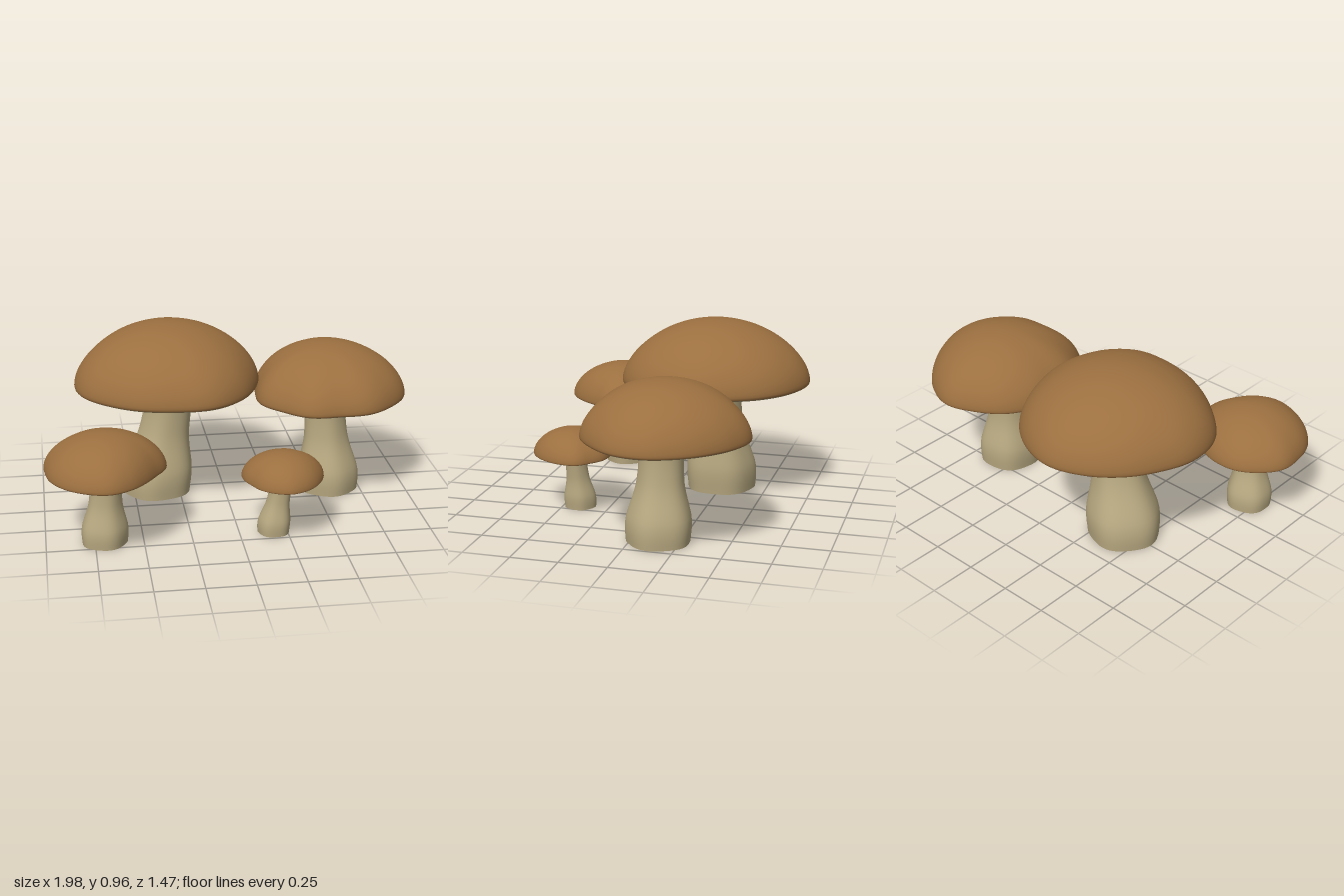
import * as THREE from 'three';

const SEG = 128;

// Surface through closed rings, listed from top to bottom along the outer side.
function loft(rings, point) {
  const pos = [], idx = [];
  rings.forEach((ring, i) => {
    for (let j = 0; j < SEG; j++) {
      pos.push(...point(ring, (j / SEG) * Math.PI * 2, j));
      if (i === rings.length - 1) continue;
      const k = (j + 1) % SEG, u = i * SEG, l = u + SEG;
      idx.push(u + j, u + k, l + j, u + k, l + k, l + j);
    }
  });
  const g = new THREE.BufferGeometry();
  g.setAttribute('position', new THREE.Float32BufferAttribute(pos, 3));
  g.setIndex(idx);
  g.computeVertexNormals();
  return g;
}

// Smooth periodic radius through evenly spaced values
function outline(values) {
  const n = values.length, at = (i) => values[(i + n) % n];
  return (a) => {
    const s = (a / (Math.PI * 2)) * n, i = Math.floor(s), f = s - i;
    const p0 = at(i - 1), p1 = at(i), p2 = at(i + 1), p3 = at(i + 2);
    return p1 + 0.5 * f * (p2 - p0 + f * (2 * p0 - 5 * p1 + 4 * p2 - p3 + f * (3 * (p1 - p2) + p3 - p0)));
  };
}

// cap: centre x, z; rim: rim height; top: apex height; under: height of the gills at the stem
// base: foot x, z, radius; neck: top-of-stem x, z; radii: cap outline, from +x towards +z
const MUSHROOMS = [
  { name: 'largeMushroom', cap: [-0.3, -0.22], rim: 0.645, top: 0.965, under: 0.595,
    base: [-0.372, -0.24, 0.194], neck: [-0.295, -0.23],
    radii: [0.492, 0.49, 0.505, 0.513, 0.487, 0.485, 0.492, 0.515, 0.508, 0.483, 0.484, 0.498, 0.519, 0.508, 0.497, 0.487] },
  { name: 'mediumMushroom', cap: [0.567, -0.171], rim: 0.56, top: 0.835, under: 0.522,
    base: [0.578, -0.138, 0.168], neck: [0.555, -0.148],
    radii: [0.423, 0.43, 0.422, 0.428, 0.412, 0.438, 0.42, 0.427, 0.397, 0.402, 0.41, 0.412, 0.433, 0.412, 0.397, 0.402] },
  { name: 'smallMushroom', cap: [-0.68, 0.42], rim: 0.4, top: 0.6, under: 0.375,
    base: [-0.7, 0.41, 0.12], neck: [-0.685, 0.42],
    radii: [0.305, 0.268, 0.265, 0.285, 0.31, 0.305, 0.303, 0.305, 0.309, 0.33, 0.326, 0.322, 0.305, 0.292, 0.3, 0.31] },
  { name: 'tinyMushroom', cap: [0.225, 0.433], rim: 0.31, top: 0.45, under: 0.294,
    base: [0.18, 0.41, 0.085], neck: [0.215, 0.42],
    radii: [0.21, 0.198, 0.198, 0.205, 0.214, 0.207, 0.2, 0.193, 0.207, 0.222, 0.225, 0.218, 0.209, 0.213, 0.21, 0.225] },
];

function buildMushroom(m, mats) {
  const group = new THREE.Group();
  group.name = m.name;
  const add = (name, geometry, material) => {
    const mesh = new THREE.Mesh(geometry, material);
    mesh.name = name;
    group.add(mesh);
  };
  const radius = outline(m.radii);
  const mean = m.radii.reduce((s, r) => s + r, 0) / m.radii.length;
  const [cx, cz] = m.cap;
  const depth = m.rim - m.under;

  // Domed cap, lobes fading towards the apex, with a tucked lip
  const dome = [];
  for (let i = 0; i <= 24; i++) {
    const u = (i / 24) * Math.PI / 2;
    dome.push([Math.sin(u), m.rim + (m.top - m.rim) * Math.max(0, Math.cos(u)) ** 1.15]);
  }
  dome.push([0.995, m.rim - depth * 0.2], [0.985, m.rim - depth * 0.32]);
  const capPoint = ([t, y], a) => {
    const r = t * (mean + (radius(a) - mean) * t);
    return [cx + r * Math.cos(a), y, cz + r * Math.sin(a)];
  };
  add('cap', loft(dome, capPoint), mats.cap);

  // Underside with fine radial pleats near the stem
  const gills = [[0.985, 0.32, 0], [0.965, 0.45, 0], [0.93, 0.52, 0], [0.8, 0.62, 0],
    [0.6, 0.75, 0.01], [0.45, 0.87, 0.06], [0.3, 0.98, 0.09], [0.15, 1, 0.09]];
  add('gills', loft(gills, ([t, d, pleat], a, j) =>
    capPoint([t, m.rim - depth * (d + (j % 2 ? pleat : -pleat))], a)), mats.gills);

  // Leaning stem with a swollen, softly lobed foot
  const [bx, bz, br] = m.base, [nx, nz] = m.neck;
  const height = m.under + depth * 0.3;
  const width = outline([0.97, 1, 0.985, 0.9, 0.8, 0.725, 0.69, 0.675, 0.68, 0.7, 0.7, 0.97]);
  const stem = [];
  for (let i = 20; i >= 0; i--) {
    const t = i / 20;
    stem.push([t, br * width((t * 9 / 12) * Math.PI * 2)]);
  }
  stem.push(stem[20], [0, 0]);
  add('stem', loft(stem, ([t, r], a) => {
    const w = r * (1 + 0.025 * (1 - t * 0.6) * Math.cos(5 * a + bx * 9));
    const lean = t * t * (3 - 2 * t);
    return [bx + (nx - bx) * lean + w * Math.cos(a), t * height, bz + (nz - bz) * lean + w * Math.sin(a)];
  }), mats.stem);
  return group;
}

export function createModel() {
  const mats = {
    cap: new THREE.MeshStandardMaterial({ color: 0x9c7040 }),
    stem: new THREE.MeshStandardMaterial({ color: 0xb8a981 }),
    gills: new THREE.MeshStandardMaterial({ color: 0xb0a27c }),
  };
  mats.cap.name = 'capBrown';
  mats.stem.name = 'stemCream';
  mats.gills.name = 'gillBeige';
  const model = new THREE.Group();
  model.name = 'mushroomCluster';
  for (const m of MUSHROOMS) model.add(buildMushroom(m, mats));
  return model;
}
